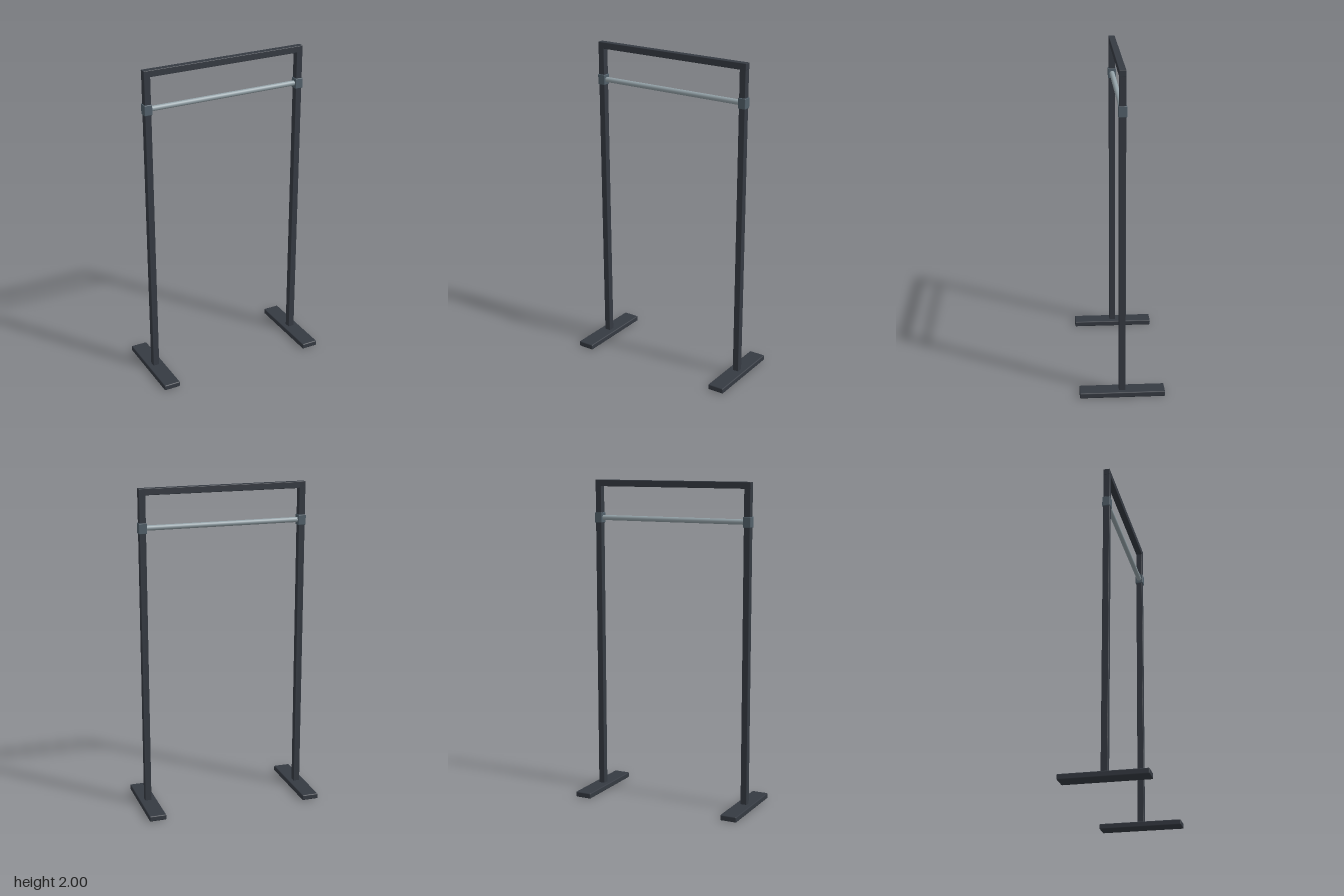
import * as THREE from 'three';
import { RoundedBoxGeometry } from 'three/addons/geometries/RoundedBoxGeometry.js';

export function createModel() {
  const model = new THREE.Group();
  model.name = 'clothesRack';

  const material = (name, color) => {
    const m = new THREE.MeshStandardMaterial({ color });
    m.name = name;
    return m;
  };
  const frame = material('charcoalFrame', 0x353a42);
  const collar = material('slateCollar', 0x52606a);
  const steel = material('brushedSteel', 0x93a1a7);

  const add = (name, geometry, mat, x, y, z = 0) => {
    const mesh = new THREE.Mesh(geometry, mat);
    mesh.name = name;
    mesh.position.set(x, y, z);
    model.add(mesh);
    return mesh;
  };
  // Box with slightly softened edges
  const box = (w, h, d, r) => new RoundedBoxGeometry(w, h, d, 2, r);

  const postX = 0.502;
  const railY = 1.765;

  // Each side: foot, upright and collar
  for (const [side, s] of [['left', 1], ['right', -1]]) {
    add(side + 'Foot', box(0.105, 0.034, 0.516, 0.006), frame, s * postX, 0.017);
    add(side + 'Post', box(0.04, 1.97, 0.04, 0.003), frame, s * postX, 1.011);
    add(side + 'Collar', box(0.05, 0.064, 0.05, 0.004), collar, s * postX, railY);
  }

  // Square top beam
  add('topBeam', box(2 * postX + 0.042, 0.04, 0.04, 0.003), frame, 0, 1.98);

  // Round hanging rail between the collars
  const rail = add('hangingRail', new THREE.CylinderGeometry(0.016, 0.016, 2 * postX, 24), steel, 0, railY);
  rail.rotation.z = Math.PI / 2;

  return model;
}
